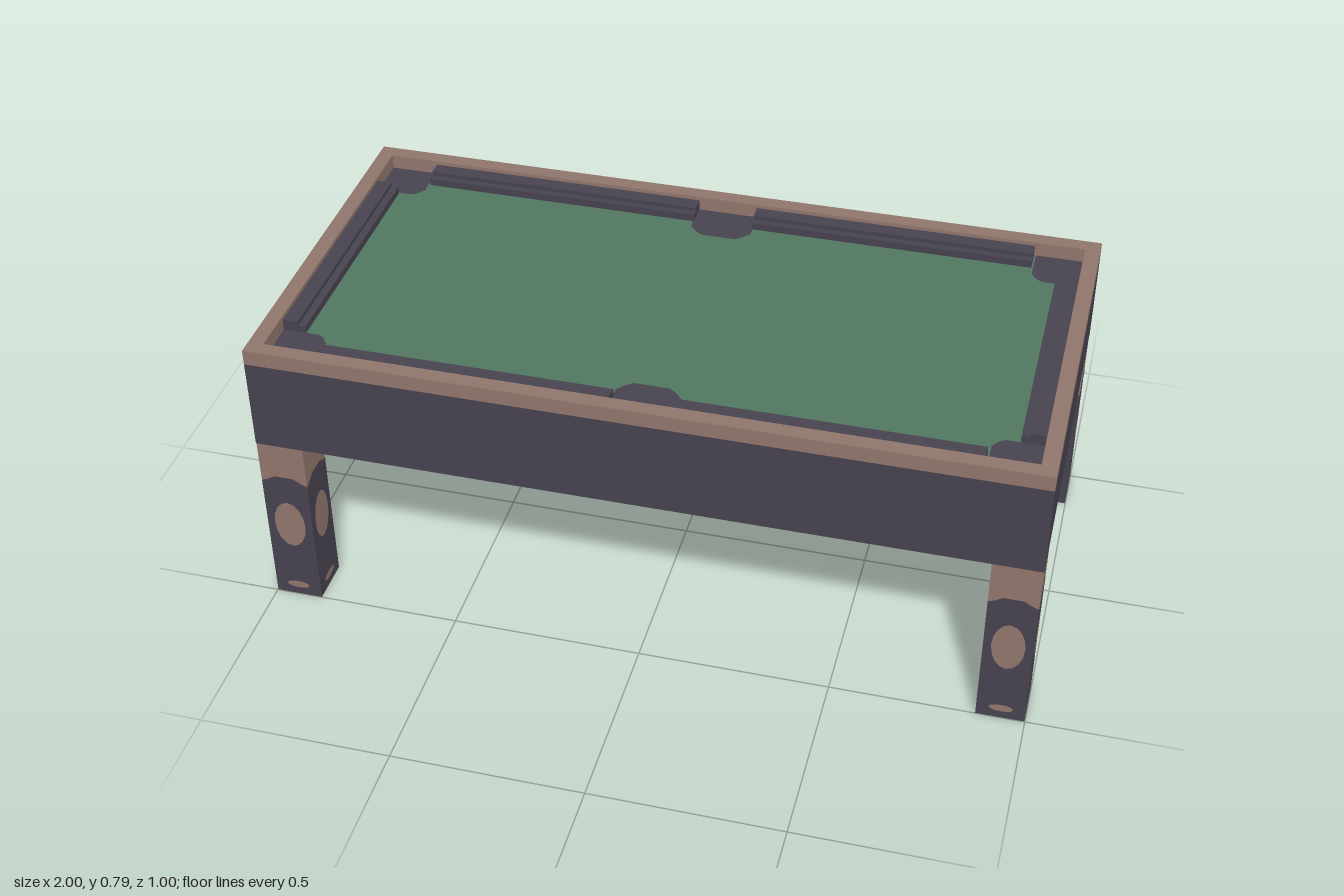
import * as THREE from 'three';

const mat = (name, color) => {
  const m = new THREE.MeshStandardMaterial({ color });
  m.name = name;
  return m;
};

export function createModel() {
  const table = new THREE.Group();
  table.name = 'poolTable';
  const dark = mat('dark wood', 0x47424f);
  const brown = mat('brown wood', 0x90756b);
  const green = mat('green cloth', 0x51775f);

  const add = (parent, name, geometry, material, x = 0, y = 0, z = 0) => {
    const mesh = new THREE.Mesh(geometry, material);
    mesh.name = name;
    mesh.position.set(x, y, z);
    parent.add(mesh);
    return mesh;
  };
  // Box spanning y0..y1
  const box = (parent, name, material, w, y0, y1, d, x = 0, z = 0) =>
    add(parent, name, new THREE.BoxGeometry(w, y1 - y0, d), material, x, (y0 + y1) / 2, z);
  const polygon = (points) => new THREE.Shape(points.map(([x, y]) => new THREE.Vector2(x, y)));
  const rect = (x, y) => [[-x, -y], [x, -y], [x, y], [-x, y]];

  // Body and playing surface
  const BED = 0.75, TOP = 0.79;
  box(table, 'body', dark, 2, 0.5, BED - 0.001, 1);
  box(table, 'cloth', green, 1.92, BED - 0.002, BED, 0.92);

  // Raised rim around the cloth
  const frame = polygon(rect(1, 0.5));
  frame.holes.push(polygon(rect(0.96, 0.46)));
  const rim = new THREE.ExtrudeGeometry(frame, { depth: TOP - BED + 0.001, bevelEnabled: false });
  rim.rotateX(-Math.PI / 2);
  add(table, 'rim', rim, brown, 0, BED - 0.001, 0);

  // Stepped cushions: tall back, low nose
  for (const s of [-1, 1]) {
    for (const x of [-0.455, 0.455]) {
      box(table, 'longCushion', dark, 0.75, BED, 0.78, 0.04, x, s * 0.44);
      box(table, 'longCushionNose', dark, 0.75, BED, 0.77, 0.02, x, s * 0.41);
    }
    box(table, 'endCushion', dark, 0.04, BED, 0.78, 0.68, s * 0.94, 0);
    box(table, 'endCushionNose', dark, 0.02, BED, 0.77, 0.68, s * 0.91, 0);
  }

  // Flat pockets with clipped corners
  const pocket = (name, points, sx, sz) => {
    const g = new THREE.ShapeGeometry(polygon(points.map(([x, z]) => [x * sx, -z * sz])));
    g.rotateX(-Math.PI / 2);
    add(table, name, g, dark, 0, BED + 0.001, 0);
  };
  const corner = [[0.96, 0.46], [0.835, 0.46], [0.835, 0.37], [0.85, 0.35], [0.865, 0.34], [0.96, 0.34]];
  const side = [[-0.082, 0.46], [-0.082, 0.375], [-0.065, 0.355], [-0.045, 0.34],
    [0.045, 0.34], [0.065, 0.355], [0.082, 0.375], [0.082, 0.46]];
  for (const sz of [-1, 1]) {
    for (const sx of [-1, 1]) pocket('cornerPocket', corner, sx, sz);
    pocket('sidePocket', side, 1, sz);
  }

  // Legs with the same inlay on all four faces
  const oval = (rx, ry, y) => {
    const s = new THREE.Shape();
    s.absellipse(0, y, rx, ry, 0, Math.PI * 2);
    return new THREE.ShapeGeometry(s, 8);
  };
  const arch = new THREE.ShapeGeometry(polygon(
    [[-0.062, 0.374], [0.062, 0.374], [0.062, 0.38], [0.045, 0.387], [0.025, 0.399], [-0.025, 0.399], [-0.045, 0.387], [-0.062, 0.38]]));
  const largeOval = oval(0.042, 0.073, 0.242);
  const smallOval = oval(0.031, 0.011, 0.033);
  for (const x of [-0.937, 0.937]) {
    for (const z of [-0.437, 0.437]) {
      const leg = new THREE.Group();
      leg.name = 'leg';
      leg.position.set(x, 0, z);
      table.add(leg);
      box(leg, 'lowerLeg', dark, 0.124, 0, 0.375, 0.124);
      box(leg, 'upperLeg', brown, 0.124, 0.375, 0.5, 0.124);
      for (let i = 0; i < 4; i++) {
        const face = new THREE.Group();
        face.name = 'legInlay';
        face.rotation.y = i * Math.PI / 2;
        leg.add(face);
        add(face, 'arch', arch, dark, 0, 0, 0.063);
        add(face, 'largeOval', largeOval, brown, 0, 0, 0.063);
        add(face, 'smallOval', smallOval, brown, 0, 0, 0.063);
      }
    }
  }
  return table;
}
